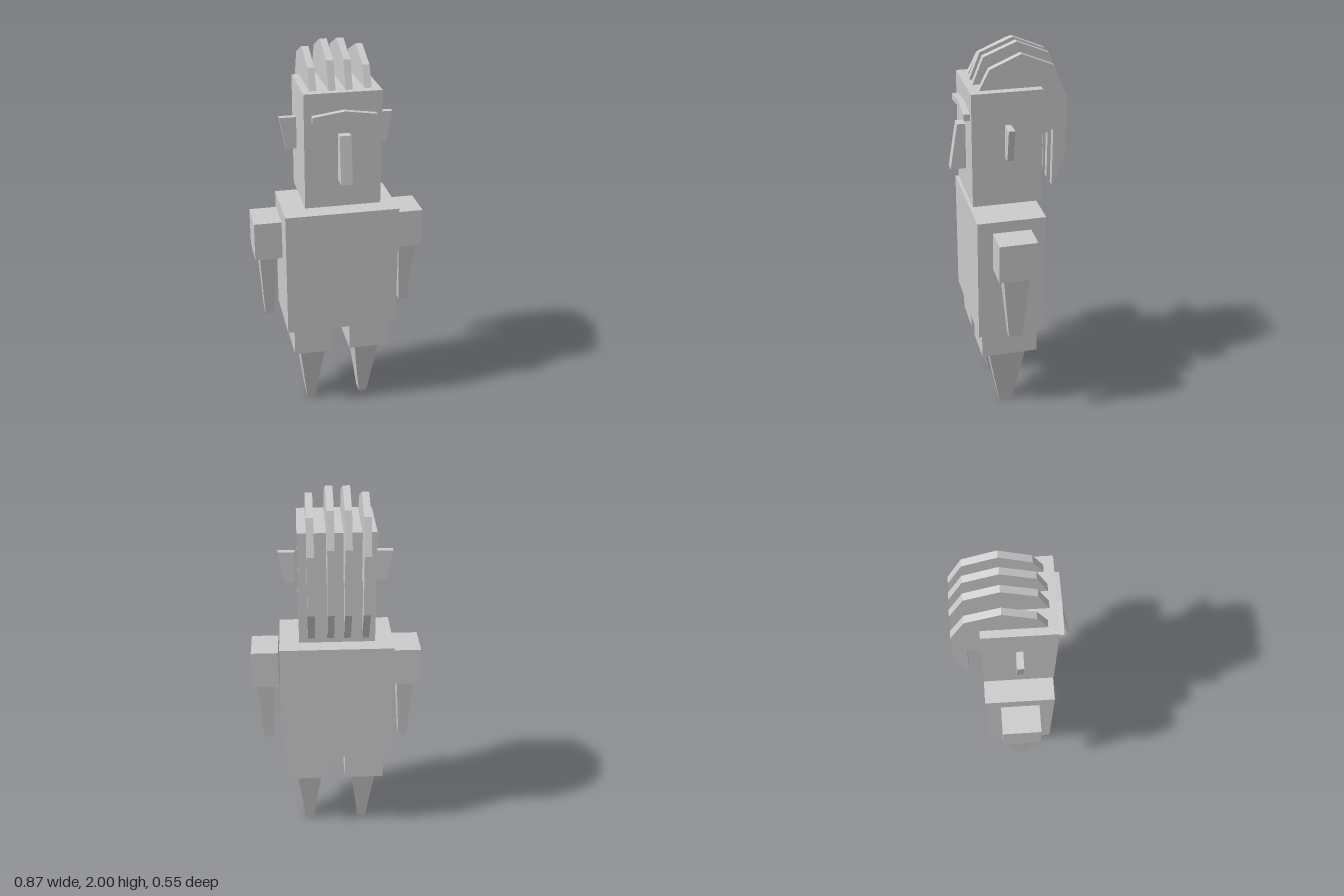
import * as THREE from 'three';

const material = new THREE.MeshStandardMaterial({ color: 0xcccccc, flatShading: true });

function addMesh(parent, name, geometry) {
  const mesh = new THREE.Mesh(geometry, material);
  mesh.name = name;
  parent.add(mesh);
  return mesh;
}

// Box between two heights; top and bottom are [x0, x1, z0, z1], so it can taper.
function block(y0, y1, top, bottom = top) {
  const geometry = new THREE.BoxGeometry(1, 1, 1);
  const p = geometry.attributes.position;
  for (let i = 0; i < p.count; i++) {
    const upper = p.getY(i) > 0;
    const r = upper ? top : bottom;
    p.setXYZ(i, p.getX(i) > 0 ? r[1] : r[0], upper ? y1 : y0, p.getZ(i) > 0 ? r[3] : r[2]);
  }
  geometry.computeVertexNormals();
  return geometry;
}

function extrude(points, depth) {
  const shape = new THREE.Shape(points.map(([x, y]) => new THREE.Vector2(x, y)));
  return new THREE.ExtrudeGeometry(shape, { depth, bevelEnabled: false });
}

// Side outline given as [z, y], extruded across x around a centre.
function sideProfile(points, width, x) {
  return extrude(points, width).translate(0, 0, -width / 2).rotateY(-Math.PI / 2).translate(x, 0, 0);
}

export function createModel() {
  const model = new THREE.Group();
  model.name = 'figure';

  addMesh(model, 'torso', block(0.525, 1.185, [-0.289, 0.289, -0.145, 0.2]));

  const head = new THREE.Group();
  head.name = 'headGroup';
  model.add(head);
  addMesh(head, 'head', block(1.23, 1.805, [-0.189, 0.189, -0.145, 0.2]));
  addMesh(head, 'nose', block(1.37, 1.605, [-0.026, 0.031, 0.2, 0.24], [-0.026, 0.031, 0.2, 0.278]));

  // Single bent eyebrow
  const brow = [[-0.153, 1.668], [0.002, 1.69], [0.158, 1.668], [0.158, 1.7], [0.002, 1.722], [-0.153, 1.7]];
  addMesh(head, 'eyebrow', extrude(brow, 0.03).translate(0, 0, 0.2));

  // Four hair crests, the outer two a little lower
  const strands = [[-0.136, 0.032, 0.012], [-0.047, 0, 0], [0.035, 0, 0], [0.129, 0.032, 0.012]];
  for (const [x, drop, back] of strands) {
    const outline = [
      [0.165 - back, 1.805], [0.112 - back * 0.8, 1.935 - drop], [-0.049, 2 - drop], [-0.208, 1.935 - drop],
      [-0.276, 1.77 - drop], [-0.276, 1.44], [-0.21, 1.287], [-0.21, 1.585], [-0.145, 1.555], [-0.145, 1.805],
    ];
    addMesh(head, 'hairCrest', sideProfile(outline, 0.034, x));
  }

  // Paired parts, mirrored by their x ranges
  for (const [side, s] of [['left', 1], ['right', -1]]) {
    const range = (x0, x1, z0, z1) => (s > 0 ? [x0, x1, z0, z1] : [-x1, -x0, z0, z1]);
    addMesh(head, side + 'Ear', block(1.487, 1.647, range(0.2, 0.283, 0.012, 0.043), range(0.2, 0.254, 0.012, 0.043)));
    addMesh(model, side + 'Shoulder', block(0.93, 1.13, range(0.297, 0.436, -0.067, 0.125)));
    addMesh(model, side + 'Arm', block(0.573, 0.93, range(0.32, 0.41, -0.037, 0.097), range(0.344, 0.388, -0.003, 0.064)));
    addMesh(model, side + 'Hip', block(0.37, 0.525, range(0.045, 0.252, -0.119, 0.176)));
    addMesh(model, side + 'Leg', block(0, 0.37, range(0.08, 0.217, -0.072, 0.135), range(0.126, 0.17, -0.003, 0.066)));
  }
  return model;
}
